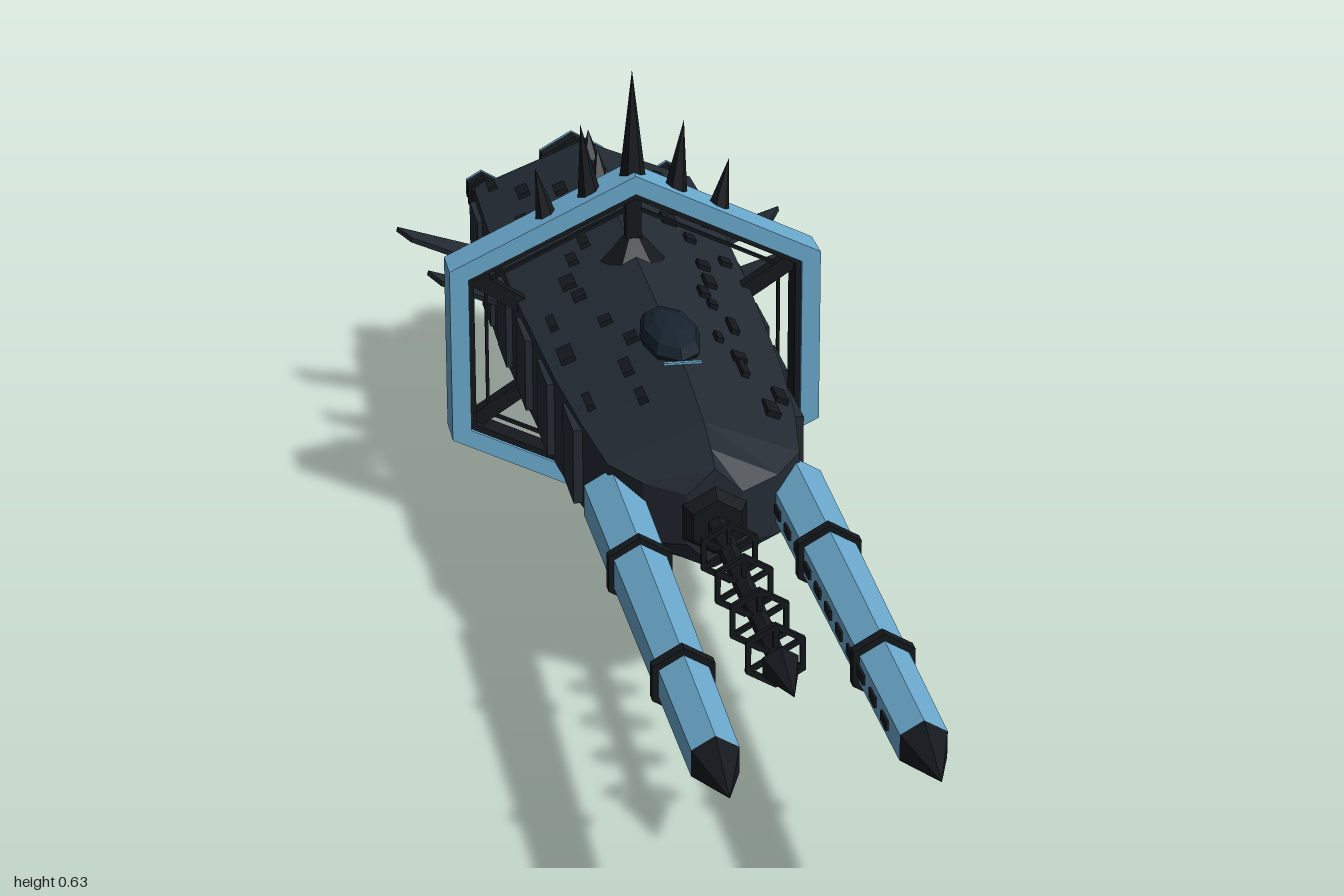
import * as THREE from 'three';

const mat = (color, extra = {}) => new THREE.MeshStandardMaterial({ color, flatShading: true, ...extra });
const hullMat = mat(0x232a32);
const darkMat = mat(0x14181c);
const blueMat = mat(0x6aa8cc);
const glassMat = mat(0x17232e);
const nozzleMat = mat(0x191c20, { side: THREE.DoubleSide });

const CY = 0.248;      // height of the long axis
const RING_Z = -0.4;

// Hull stations: z, half height, half width
const stations = [
  [-0.905, 0, 0], [-0.905, 0.11, 0.142], [-0.88, 0.13, 0.161], [-0.6, 0.132, 0.166],
  [-0.4, 0.126, 0.162], [-0.1, 0.119, 0.15], [0.05, 0.113, 0.138], [0.17, 0.096, 0.122],
  [0.22, 0.08, 0.085], [0.25, 0.066, 0.035], [0.25, 0, 0],
];

function hullAt(z) {
  const i = stations.findIndex((s) => s[0] >= z);
  const a = stations[i - 1], b = stations[i];
  const t = (z - a[0]) / (b[0] - a[0]);
  return { ry: a[1] + (b[1] - a[1]) * t, rx: a[2] + (b[2] - a[2]) * t };
}

function add(parent, name, geometry, material, x = 0, y = 0, z = 0) {
  const mesh = new THREE.Mesh(geometry, material);
  mesh.name = name;
  mesh.position.set(x, y, z);
  parent.add(mesh);
  return mesh;
}

// Prism along z, corners pointing up and down; front radius first
function prism(rFront, rBack, length, sides = 6, open = false) {
  return new THREE.CylinderGeometry(rFront, rBack, length, sides, 1, open).rotateX(Math.PI / 2);
}

// Tapered bar or spike between two points
function bar(parent, name, a, b, r0, r1, material, sides = 4) {
  const from = new THREE.Vector3(...a), to = new THREE.Vector3(...b);
  const dir = to.clone().sub(from);
  const geo = new THREE.CylinderGeometry(r1, r0, dir.length(), sides).rotateY(Math.PI / sides);
  const mesh = add(parent, name, geo, material);
  mesh.position.copy(from).add(to).multiplyScalar(0.5);
  mesh.quaternion.setFromUnitVectors(new THREE.Vector3(0, 1, 0), dir.normalize());
  return mesh;
}

const hexPoints = (rx, ry) => [[0, 1], [-1, 0.5], [-1, -0.5], [0, -1], [1, -0.5], [1, 0.5]]
  .map(([x, y]) => new THREE.Vector2(x * rx, y * ry));

// Hexagonal frame, centred on its depth
function hexFrame(rx, ry, holeX, holeY, depth) {
  const shape = new THREE.Shape(hexPoints(rx, ry));
  shape.holes.push(new THREE.Path(hexPoints(holeX, holeY)));
  return new THREE.ExtrudeGeometry(shape, { depth, bevelEnabled: false }).translate(0, 0, -depth / 2);
}

function buildHull(g) {
  const geo = new THREE.LatheGeometry(stations.map((s) => new THREE.Vector2(s[1], s[0])), 6);
  geo.rotateX(Math.PI / 2);
  const p = geo.attributes.position;
  for (let k = 0; k < p.count; k++) {
    const [, ry, rx] = stations[k % stations.length];
    if (ry > 0) p.setX(k, p.getX(k) * rx / (ry * 0.866));
  }
  add(g, 'hull', geo, hullMat, 0, CY, 0);

  // Flank armour plates and belly pods
  for (const s of [-1, 1]) {
    for (let i = 0; i < 6; i++) {
      const z = 0.01 - i * 0.165;
      add(g, 'sidePlate', new THREE.BoxGeometry(0.016, 0.1, 0.095), hullMat, s * hullAt(z).rx, CY, z);
    }
    const pod = add(g, 'bellyPod', new THREE.BoxGeometry(0.055, 0.018, 0.2), hullMat, s * 0.06, 0.139, -0.65);
    pod.rotation.z = s * 0.38;
  }

  // Canopy
  const canopy = add(g, 'canopy', new THREE.SphereGeometry(1, 8, 6), glassMat, 0, 0.363, -0.09);
  canopy.scale.set(0.04, 0.024, 0.095);
  add(g, 'canopyTrim', new THREE.BoxGeometry(0.05, 0.003, 0.006), blueMat, 0, 0.363, 0.01);

  // Small roof fittings
  let seed = 7;
  const rand = () => (seed = (seed * 16807) % 2147483647) / 2147483647;
  for (let i = 0; i < 34; i++) {
    const s = i % 2 ? 1 : -1;
    const z = -0.85 + 0.95 * (i + rand()) / 34, u = 0.3 + 0.6 * rand();
    const { rx, ry } = hullAt(z);
    const box = new THREE.BoxGeometry(0.01 + 0.012 * rand(), 0.012, 0.02 + 0.03 * rand());
    const fit = add(g, 'roofFitting', box, darkMat, s * u * rx, CY + ry * (1 - u / 2), z);
    fit.rotation.z = -s * Math.atan2(ry / 2, rx);
  }

  // Dorsal spikes
  for (const z of [-0.63, -0.715, -0.805]) {
    bar(g, 'dorsalSpike', [0, 0.37, z + 0.01], [0, 0.415, z - 0.012], 0.016, 0, darkMat, 6);
  }
}

function buildFins(g) {
  // Outline per fin: root front, root back, tip back, tip front as [x, z]
  const outlines = [
    [[0.14, -0.7], [0.14, -0.785], [0.288, -0.815], [0.27, -0.775]],
    [[0.14, -0.53], [0.14, -0.615], [0.262, -0.637], [0.246, -0.598]],
  ];
  for (const s of [-1, 1]) {
    for (const o of outlines) {
      const shape = new THREE.Shape(o.map(([x, z]) => new THREE.Vector2(s * (x - 0.14), -z)));
      const geo = new THREE.ExtrudeGeometry(shape, { depth: 0.007, bevelEnabled: false });
      const fin = add(g, 'sideFin', geo.rotateX(-Math.PI / 2), hullMat, s * 0.14, 0.24, 0);
      fin.rotation.z = s * 0.24;
    }
  }
}

function buildRing(g) {
  const ring = new THREE.Group();
  ring.name = 'ring';
  ring.position.set(0, 0.245, RING_Z);
  g.add(ring);
  add(ring, 'ringFrame', hexFrame(0.256, 0.245, 0.23, 0.219, 0.064), blueMat);
  add(ring, 'ringLiner', hexFrame(0.231, 0.22, 0.222, 0.21, 0.05), darkMat);
  add(ring, 'ringWire', hexFrame(0.205, 0.195, 0.201, 0.19, 0.008), darkMat);
  const inner = hexPoints(0.15, 0.115), outer = hexPoints(0.226, 0.214);
  inner.forEach((p, i) => bar(ring, 'strut', [p.x, p.y, 0], [outer[i].x, outer[i].y, 0], 0.015, 0.015, darkMat));
  bar(ring, 'upperStrutFoot', [0, 0.115, 0], [0, 0.15, 0], 0.045, 0.014, darkMat, 6);
  bar(ring, 'lowerStrutFoot', [0, -0.11, 0], [0, -0.205, 0], 0.045, 0.008, darkMat, 6);

  // Crown of spikes: base x, base y, tip x, tip y
  for (const [bx, by, tx, ty] of [[0, 0.235, 0, 0.386], [0.058, 0.2, 0.071, 0.312], [0.116, 0.17, 0.133, 0.253]]) {
    for (const s of bx ? [-1, 1] : [1]) {
      bar(ring, 'crownSpike', [s * bx, by, 0], [s * tx, ty, 0], 0.018, 0, darkMat, 6);
    }
  }
}

function buildBarrels(g) {
  for (const s of [-1, 1]) {
    const barrel = new THREE.Group();
    barrel.name = 'barrel';
    barrel.position.set(s * 0.116, 0.245, 0);
    g.add(barrel);
    add(barrel, 'barrelTube', prism(0.031, 0.04, 0.75), blueMat, 0, 0, 0.535);
    add(barrel, 'barrelTip', prism(0, 0.031, 0.09), darkMat, 0, 0, 0.955);
    add(barrel, 'barrelBand', prism(0.045, 0.045, 0.016), darkMat, 0, 0, 0.385);
    add(barrel, 'barrelBand', prism(0.042, 0.042, 0.016), darkMat, 0, 0, 0.697);
    // Vents on the inner face
    for (let i = 0; i < 11; i++) {
      const z = 0.24 + i * 0.06;
      const x = 0.866 * (0.04 - 0.009 * (z - 0.16) / 0.75);
      add(barrel, 'vent', new THREE.BoxGeometry(0.006, 0.012, 0.03), darkMat, -s * x, 0, z);
    }
  }
}

function buildProbe(g) {
  const probe = new THREE.Group();
  probe.name = 'probe';
  probe.position.y = 0.245;
  g.add(probe);
  add(probe, 'probeSocket', prism(0.035, 0.05, 0.03), darkMat, 0, 0, 0.255);
  add(probe, 'probeRod', prism(0.011, 0.014, 0.46), darkMat, 0, 0, 0.46);
  add(probe, 'probeTip', prism(0, 0.024, 0.085), darkMat, 0, 0, 0.723);
  for (const z of [0.35, 0.45, 0.55, 0.65]) {
    add(probe, 'probeRing', hexFrame(0.035, 0.04, 0.029, 0.033, 0.008), darkMat, 0, 0, z);
    for (let i = 0; i < 3; i++) {
      const spoke = add(probe, 'probeSpoke', new THREE.BoxGeometry(0.006, 0.07, 0.006), darkMat, 0, 0, z);
      spoke.rotation.z = i * Math.PI / 3;
    }
  }
}

function buildEngines(g) {
  add(g, 'sternTrim', hexFrame(0.15, 0.119, 0.138, 0.109, 0.012), blueMat, 0, CY, -0.903);
  const nozzle = (x, y, r, zEnd, length) => {
    add(g, 'nozzle', prism(r * 0.8, r, length, 6, true), nozzleMat, x, y, zEnd + length / 2);
    add(g, 'nozzleThroat', prism(r * 0.75, r * 0.75, 0.01), darkMat, x, y, zEnd + length * 0.6);
    add(g, 'nozzleRim', hexFrame(r * 0.866, r, r * 0.79, r * 0.91, 0.006), blueMat, x, y, zEnd + 0.004);
    add(g, 'nozzleCollar', hexFrame(r * 0.91, r * 1.05, r * 0.75, r * 0.88, 0.014), darkMat, x, y, zEnd + length * 0.45);
  };
  nozzle(0, 0.3, 0.056, -0.999, 0.1);
  for (const s of [-1, 1]) {
    nozzle(s * 0.082, 0.22, 0.056, -0.999, 0.1);
    nozzle(s * 0.14, 0.285, 0.026, -0.97, 0.08);
  }
}

export function createModel() {
  const model = new THREE.Group();
  model.name = 'spaceship';
  const body = new THREE.Group();
  body.name = 'body';
  body.position.x = -0.003;
  model.add(body);
  [buildHull, buildFins, buildRing, buildBarrels, buildProbe, buildEngines].forEach((build) => build(body));
  return model;
}
